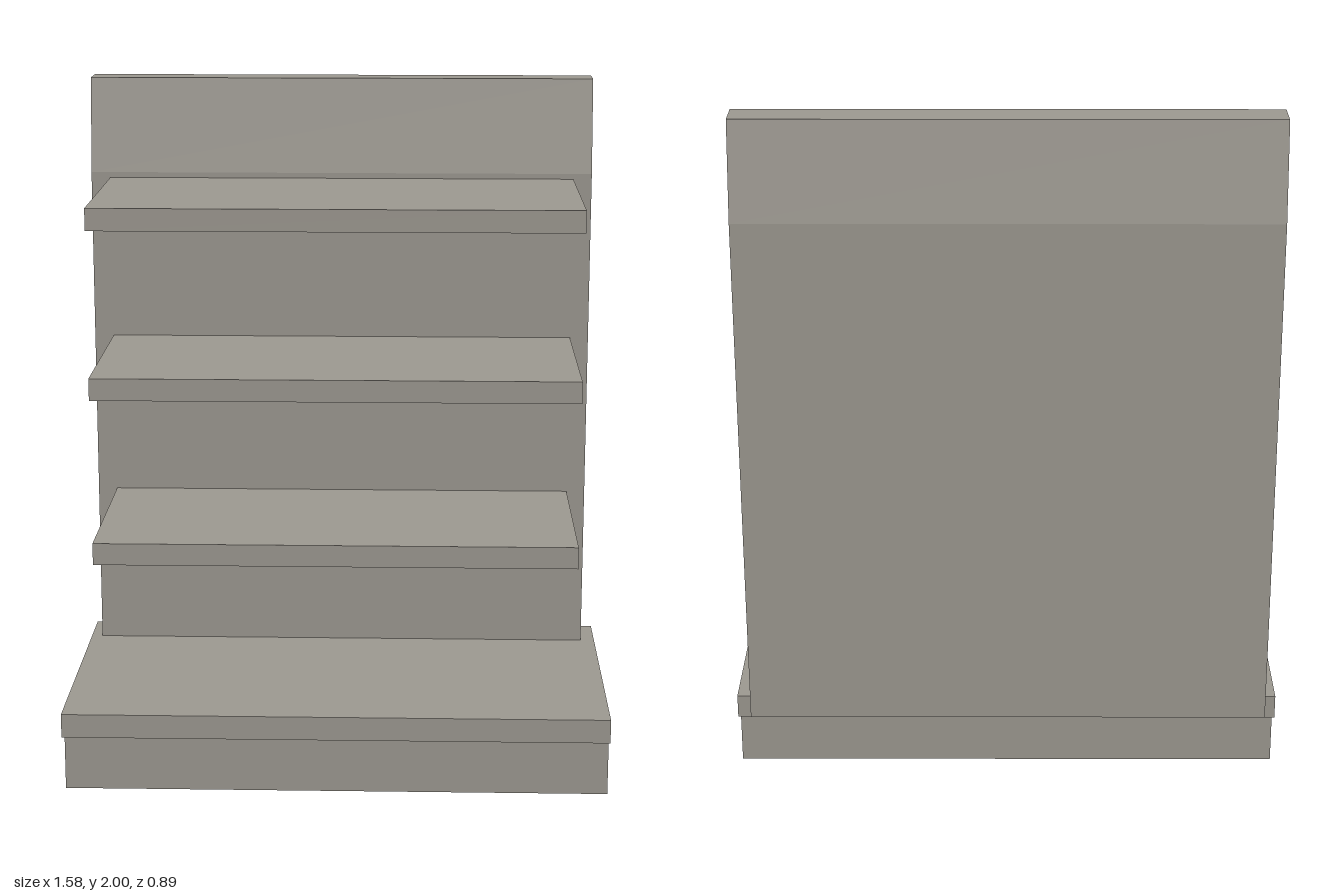
import * as THREE from 'three';

export function createModel() {
  const group = new THREE.Group();
  group.name = 'displayShelf';

  const grey = new THREE.MeshStandardMaterial({ color: 0x9d9991 });
  grey.name = 'warm grey';
  const dark = new THREE.MeshStandardMaterial({ color: 0x3a1f20 });
  dark.name = 'dark underside';

  // Box given by its extents on each axis
  function box(name, [x0, x1], [y0, y1], [z0, z1], material = grey) {
    const mesh = new THREE.Mesh(new THREE.BoxGeometry(x1 - x0, y1 - y0, z1 - z0), material);
    mesh.position.set((x0 + x1) / 2, (y0 + y1) / 2, (z0 + z1) / 2);
    mesh.name = name;
    group.add(mesh);
  }

  // Plinth with a dark bottom face, and the base deck overhanging it
  box('plinth', [-0.79, 0.79], [0, 0.18], [-0.34, 0.385], [grey, grey, grey, dark, grey, grey]);
  box('baseDeck', [-0.79, 0.79], [0.18, 0.25], [-0.405, 0.446]);

  // Back panel: side profile (z, y) tapering at the top, extruded across the width
  const profile = new THREE.Shape([
    [-0.446, 0.203], [-0.265, 0.203], [-0.265, 1.72],
    [-0.305, 2], [-0.406, 2], [-0.446, 1.72],
  ].map(([z, y]) => new THREE.Vector2(z, y)));
  const panelGeometry = new THREE.ExtrudeGeometry(profile, { depth: 1.505, bevelEnabled: false });
  panelGeometry.rotateY(-Math.PI / 2).translate(0.748, 0, 0);
  const panel = new THREE.Mesh(panelGeometry, grey);
  panel.name = 'backPanel';
  group.add(panel);

  // Three evenly spaced shelves
  for (let i = 0; i < 3; i++) {
    const y = 0.67 + i * 0.485;
    box(`shelf${i + 1}`, [-0.7, 0.693], [y, y + 0.064], [-0.27, 0.346]);
  }

  return group;
}
